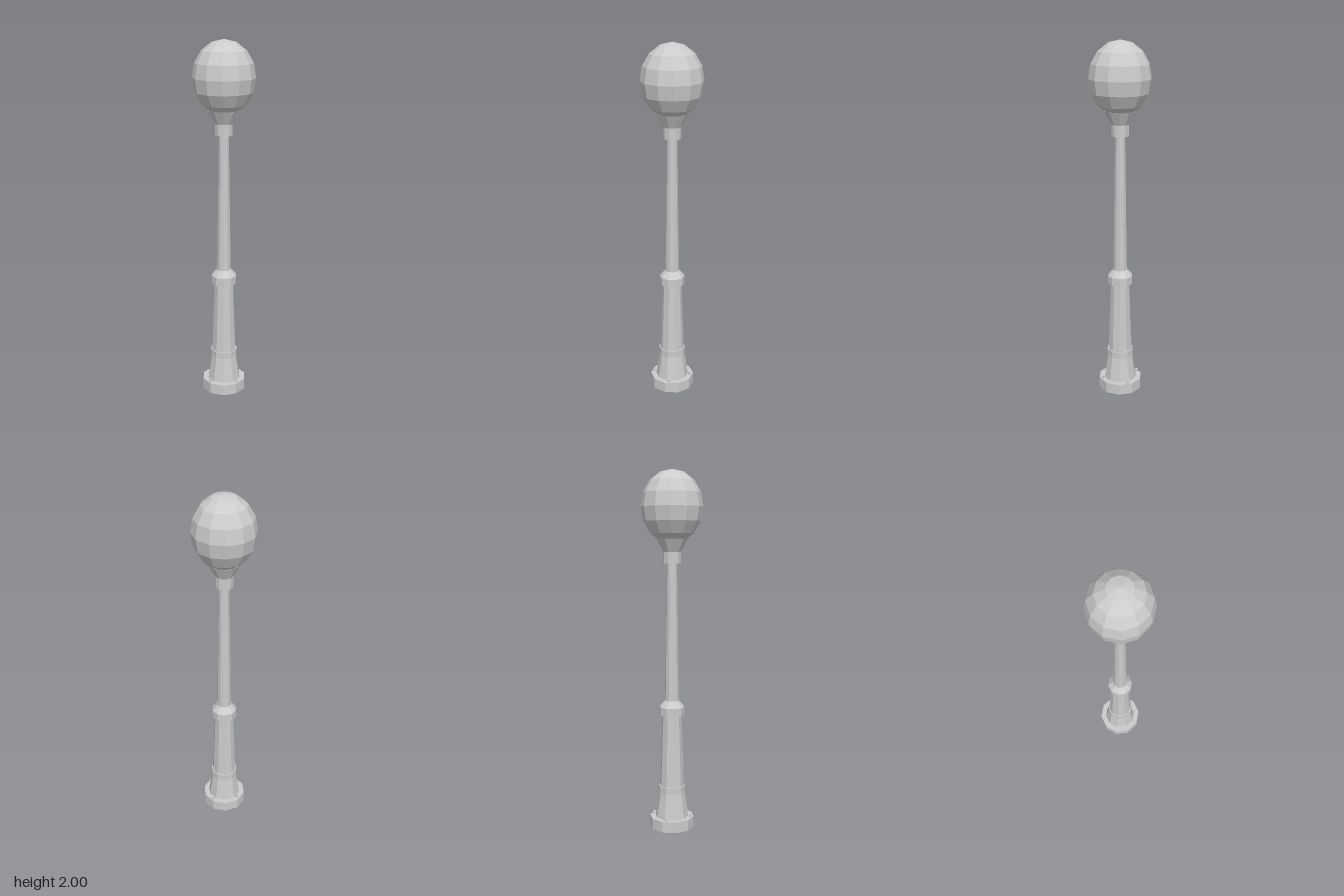
import * as THREE from 'three';

const SIDES = 10;

export function createModel() {
  const lamp = new THREE.Group();
  lamp.name = 'streetLamp';
  const material = new THREE.MeshStandardMaterial({ color: 0xcccccc, flatShading: true });

  const add = (name, geometry) => {
    const mesh = new THREE.Mesh(geometry, material);
    mesh.name = name;
    lamp.add(mesh);
    return mesh;
  };

  // Faceted turned part from [radius, height] pairs, listed bottom to top
  const turned = (name, profile) =>
    add(name, new THREE.LatheGeometry(profile.map(([r, y]) => new THREE.Vector2(r, y)), SIDES));

  // Base plate and flared foot
  turned('basePlate', [[0, 0], [0.125, 0], [0.125, 0.062], [0, 0.062]]);
  turned('foot', [[0.094, 0.062], [0.072, 0.205]]);
  turned('footRing', [[0.066, 0.205], [0.076, 0.205], [0.076, 0.243], [0.066, 0.243]]);

  // Lower column and its collar, sloping in to the pole
  turned('lowerColumn', [[0.069, 0.243], [0.054, 0.65]]);
  turned('columnCollar', [[0.05, 0.65], [0.071, 0.65], [0.071, 0.697], [0.04, 0.732]]);

  // Slender tapering pole
  turned('pole', [[0.04, 0.73], [0.028, 1.495]]);

  // Cup that holds the globe
  turned('globeHolder', [[0, 1.495], [0.049, 1.495], [0.049, 1.558], [0.087, 1.63], [0, 1.63]]);

  // Egg-shaped globe
  const globe = add('globe', new THREE.SphereGeometry(0.17, 12, 8));
  globe.scale.y = 0.2 / 0.17;
  globe.position.y = 1.8;

  // Four anchor bolts on the base plate
  for (const x of [-1, 1]) {
    for (const z of [-1, 1]) {
      const bolt = add('anchorBolt', new THREE.CylinderGeometry(0.008, 0.008, 0.02, 6));
      bolt.position.set(x * 0.076, 0.068, z * 0.076);
    }
  }

  return lamp;
}
